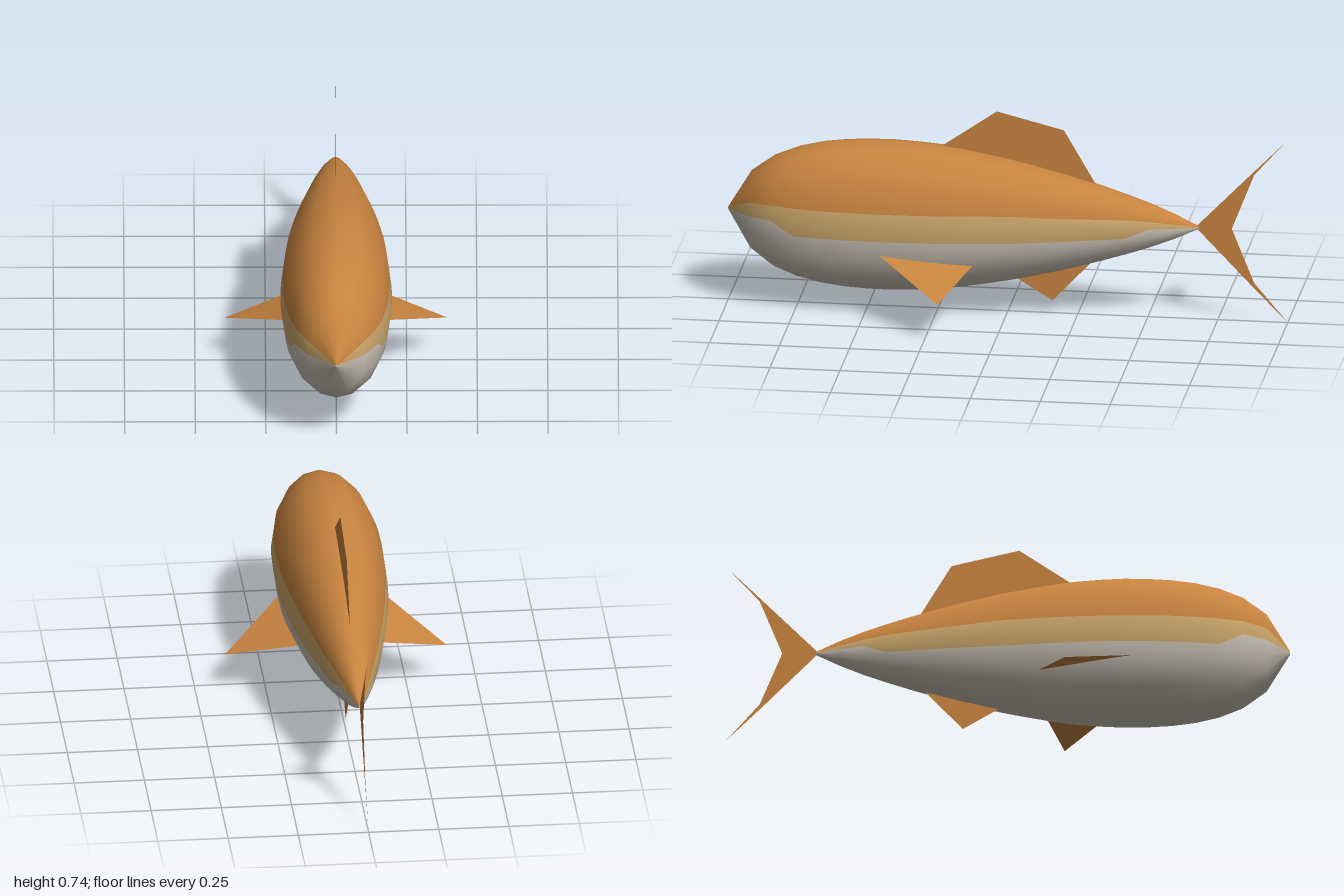
import * as THREE from 'three';

const orange = new THREE.MeshStandardMaterial({ color: 0xc8843f, side: THREE.DoubleSide });
orange.name = 'orange back and fins';
const tan = new THREE.MeshStandardMaterial({ color: 0xcda76b });
tan.name = 'tan flank';
const pale = new THREE.MeshStandardMaterial({ color: 0xcbc3b5 });
pale.name = 'pale belly';

const MID = 0.341, SIDES = 16, WIDTH = 0.715;
// half height of the body at evenly spaced rings, nose to tail
const heights = [0.005, 0.144, 0.206, 0.24, 0.26, 0.271, 0.276, 0.277, 0.273, 0.266, 0.255,
  0.24, 0.224, 0.205, 0.184, 0.161, 0.136, 0.109, 0.08, 0.046, 0.006];
const last = heights.length - 1;
const STEP = 1.68 / last;
const ringZ = i => 1 - STEP * i;

// colour borders, counted in polygon sides from the top of the back
function borders(i) {
  const z = ringZ(i), side = 0.383 * heights[i];
  const upper = 0.06 + Math.min(0, z) * 0.05;
  const lower = 0.042 + Math.min(0, z) * 0.03;
  const a = Math.max(3.04, 4 - upper / side);
  const b = z > 0.8 || z < -0.47 ? 3.92 : Math.min(4.9, 4 + lower / side);
  return [a, b];
}

// point and smooth normal on ring i, u sides down from the top
function surface(i, u, sign) {
  const h = heights[i], k = Math.floor(u), f = u - k, d = 2 * Math.PI / SIDES;
  const mix = fn => fn(k * d) * (1 - f) + fn((k + 1) * d) * f;
  const i0 = Math.max(0, i - 1), i1 = Math.min(last, i + 1);
  const slope = (heights[i1] - heights[i0]) / (STEP * (i1 - i0));
  const n = new THREE.Vector3(sign * Math.sin(u * d) / WIDTH, Math.cos(u * d), slope).normalize();
  return { p: [sign * mix(Math.sin) * h * WIDTH, MID + mix(Math.cos) * h, ringZ(i)], n: n.toArray() };
}

// one lengthwise strip of skin; columns(a, b) lists its positions around the ring
function strip(name, material, columns, sign) {
  const pos = [], nor = [], idx = [];
  const count = columns(3.5, 4.5).length;
  for (let i = 0; i <= last; i++) {
    for (const u of columns(...borders(i))) {
      const { p, n } = surface(i, u, sign);
      pos.push(...p);
      nor.push(...n);
    }
  }
  for (let i = 0; i < last; i++) {
    for (let j = 0; j < count - 1; j++) {
      const a = i * count + j, b = a + 1, c = a + count, d = c + 1;
      if (sign > 0) idx.push(a, b, c, b, d, c);
      else idx.push(a, c, b, b, c, d);
    }
  }
  const g = new THREE.BufferGeometry();
  g.setAttribute('position', new THREE.Float32BufferAttribute(pos, 3));
  g.setAttribute('normal', new THREE.Float32BufferAttribute(nor, 3));
  g.setIndex(idx);
  const mesh = new THREE.Mesh(g, material);
  mesh.name = name;
  return mesh;
}

// flat fin in the middle plane from [z, y] corners
function midFin(name, corners) {
  const shape = new THREE.Shape(corners.map(([z, y]) => new THREE.Vector2(z, y)));
  const mesh = new THREE.Mesh(new THREE.ShapeGeometry(shape).rotateY(-Math.PI / 2), orange);
  mesh.name = name;
  return mesh;
}

// flat slanted side fin, rooted inside the body
function sideFin(name, sign) {
  const corners = [[0.16, 0.26, 0.464], [0.395, 0.142, 0.2], [0.13, 0.212, 0.104]];
  const g = new THREE.BufferGeometry();
  const order = sign > 0 ? [0, 1, 2] : [0, 2, 1];
  g.setAttribute('position', new THREE.Float32BufferAttribute(
    order.flatMap(k => [sign * corners[k][0], corners[k][1], corners[k][2]]), 3));
  g.computeVertexNormals();
  const mesh = new THREE.Mesh(g, orange);
  mesh.name = name;
  return mesh;
}

export function createModel() {
  const model = new THREE.Group();
  model.name = 'fish';

  // body skin and paired fins
  const body = new THREE.Group();
  body.name = 'body';
  for (const [side, sign] of [['left', 1], ['right', -1]]) {
    body.add(
      strip(side + 'Back', orange, a => [0, 1, 2, 3, a], sign),
      strip(side + 'Flank', tan, (a, b) => [a, Math.min(4, b - 0.01), b], sign),
      strip(side + 'Belly', pale, (a, b) => [b, Math.max(4, b + 0.01), 5, 6, 7, 8], sign));
    model.add(sideFin(side + 'PectoralFin', sign));
  }
  // tiny caps closing both ends
  for (const [name, i, turn] of [['noseTip', 0, 0], ['tailTip', last, Math.PI]]) {
    const cap = new THREE.Mesh(new THREE.CircleGeometry(heights[i], SIDES), pale);
    cap.name = name;
    cap.scale.x = WIDTH;
    cap.rotation.y = turn;
    cap.position.set(0, MID, ringZ(i));
    body.add(cap);
  }
  model.add(body);

  // fins along the middle plane
  model.add(
    midFin('dorsalFin', [[0.26, 0.585], [0.24, 0.603], [0.04, 0.742], [-0.2, 0.682], [-0.32, 0.475], [-0.3, 0.42]]),
    midFin('analFin', [[0.06, 0.18], [-0.16, 0.045], [-0.34, 0.24]]),
    midFin('tailFin', [[-0.67, 0.342], [-0.88, 0.558], [-0.99, 0.67], [-0.88, 0.545], [-0.8, 0.341],
      [-0.88, 0.142], [-1, 0], [-0.88, 0.122]]));
  return model;
}
